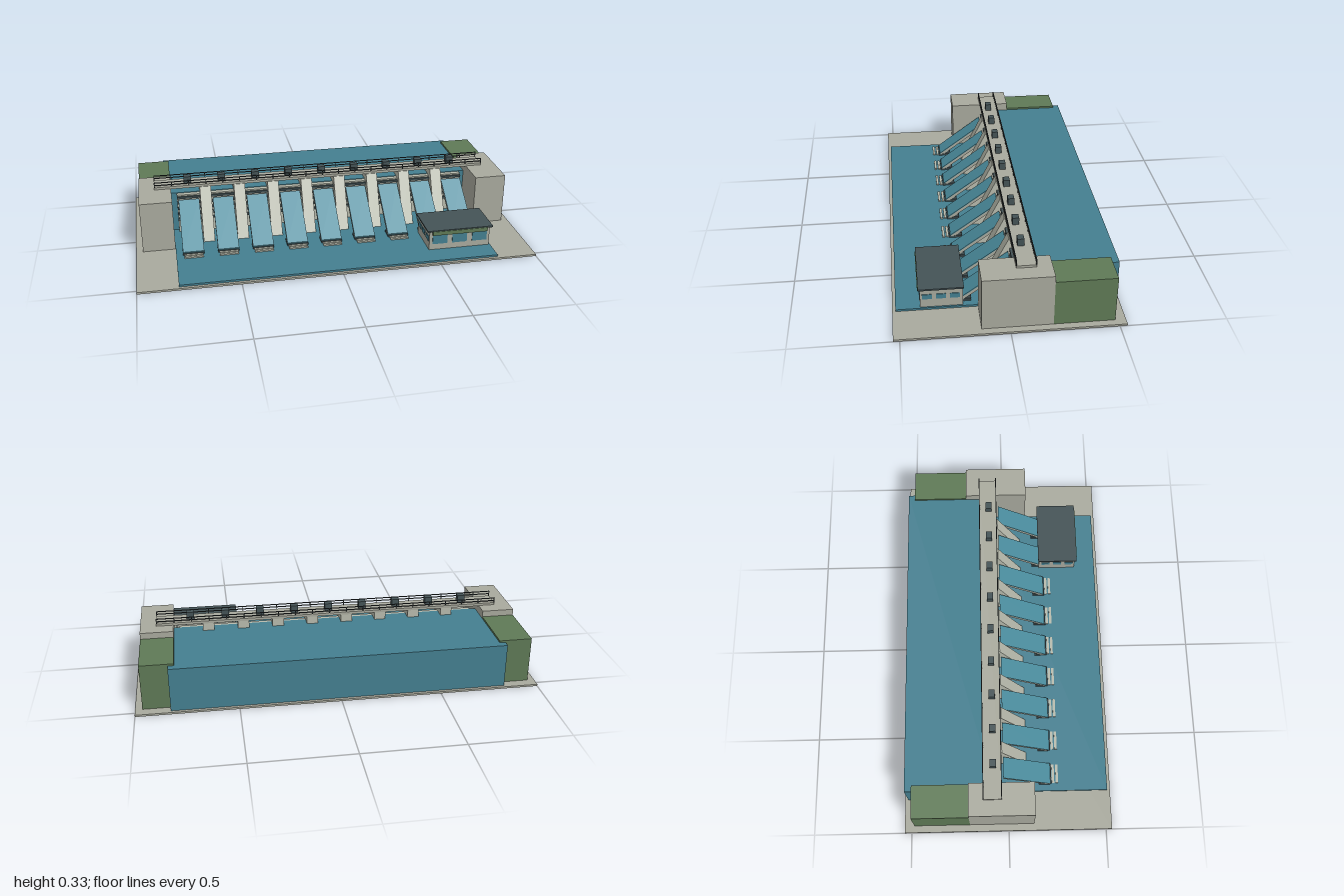
import * as THREE from 'three';

const mat = (name, color, side = THREE.FrontSide) => {
  const m = new THREE.MeshStandardMaterial({ color, side });
  m.name = name;
  return m;
};

export function createModel() {
  const concrete = mat('concrete', 0xa9aa9e);
  const pale = mat('pale concrete', 0xb8bbad);
  const water = mat('water', 0x447f90);
  const spill = mat('spilling water', 0x4a8c9d);
  const grass = mat('grass', 0x5f7a56);
  const slate = mat('slate steel', 0x445356);
  const rail = mat('railing steel', 0x343b3c);

  const model = new THREE.Group();
  model.name = 'dam';

  // Box given by its limits on each axis
  const box = (name, m, x0, x1, y0, y1, z0, z1, parent = model) => {
    const mesh = new THREE.Mesh(new THREE.BoxGeometry(x1 - x0, y1 - y0, z1 - z0), m);
    mesh.position.set((x0 + x1) / 2, (y0 + y1) / 2, (z0 + z1) / 2);
    mesh.name = name;
    parent.add(mesh);
    return mesh;
  };

  // Prism with a [z, y] profile, extruded across x
  const prism = (name, m, profile, x, width, parent = model) => {
    const shape = new THREE.Shape(profile.map(([z, y]) => new THREE.Vector2(z, y)));
    const geo = new THREE.ExtrudeGeometry(shape, { depth: width, bevelEnabled: false });
    geo.translate(0, 0, -width / 2).rotateY(-Math.PI / 2);
    const mesh = new THREE.Mesh(geo, m);
    mesh.position.x = x;
    mesh.name = name;
    parent.add(mesh);
  };

  // Ground slab and water bodies
  box('baseSlab', concrete, -1, 1, 0, 0.01, -0.535, 0.53);
  box('reservoir', water, -0.83, 0.83, 0.01, 0.235, -0.52, -0.07);
  box('tailwater', water, -0.8, 0.8, 0.01, 0.02, -0.07, 0.515);

  // Abutments and grassy banks on both ends
  for (const s of [-1, 1]) {
    const a = Math.min(s * 0.8, s * 0.965), b = Math.max(s * 0.8, s * 0.965);
    box('abutment', concrete, a, b, 0.01, 0.277, -0.2, 0.13);
    box('grassBank', grass, a, b, 0.01, 0.245, -0.485, -0.2);
  }

  const pitch = 0.178;

  // Sloped piers between the bays
  for (let i = 0; i < 8; i++) {
    prism('pier', pale, [[-0.125, 0.015], [0.1, 0.015], [-0.03, 0.277], [-0.125, 0.277]],
      (i - 3.5) * pitch, 0.058);
  }

  // Nine bays, each with gate, chute, stilling blocks and hoist
  for (let i = 0; i < 9; i++) {
    const bay = new THREE.Group();
    bay.name = 'spillwayBay';
    bay.position.x = (i - 4) * pitch;
    model.add(bay);

    box('gate', pale, -0.06, 0.06, 0.015, 0.232, -0.07, -0.045, bay);
    for (let k = 0; k < 5; k++) {
      const y = 0.09 + k * 0.031;
      box('gateRib', slate, -0.06, 0.06, y, y + 0.011, -0.045, -0.033, bay);
    }
    prism('chute', concrete, [[-0.025, 0.19], [0.22, 0.012], [0.22, 0.03], [-0.025, 0.208]], 0, 0.107, bay);
    prism('chuteWater', spill, [[-0.025, 0.208], [0.22, 0.03], [0.22, 0.035], [-0.025, 0.213]], 0, 0.107, bay);

    box('stillingSill', slate, -0.054, 0.054, 0.018, 0.03, 0.16, 0.226, bay);
    box('stillingBlock', slate, -0.048, 0.048, 0.03, 0.045, 0.16, 0.195, bay);
    for (const z of [0.228, 0.248]) {
      box('baffleBar', pale, -0.048, 0.048, 0.018, 0.027, z, z + 0.013, bay);
    }

    box('hoist', slate, -0.019, 0.019, 0.289, 0.326, -0.092, -0.06, bay);
  }

  // Service bridge with railings on both edges
  box('bridgeDeck', concrete, -0.885, 0.885, 0.275, 0.289, -0.127, -0.034);
  for (const z of [-0.126, -0.035]) {
    for (const y of [0.301, 0.315]) {
      box('handrail', rail, -0.885, 0.885, y - 0.002, y + 0.002, z - 0.002, z + 0.002);
    }
    for (let i = 0; i <= 20; i++) {
      const x = -0.883 + i * 0.0883;
      box('railPost', rail, x - 0.002, x + 0.002, 0.289, 0.315, z - 0.002, z + 0.002);
    }
  }

  // Control house with windows, roof and green fascia
  const house = new THREE.Group();
  house.name = 'controlHouse';
  model.add(house);
  box('houseWalls', concrete, 0.472, 0.792, 0.012, 0.122, 0.2, 0.4, house);
  box('houseRoof', slate, 0.46, 0.806, 0.122, 0.13, 0.195, 0.408, house);
  box('houseFascia', grass, 0.487, 0.777, 0.104, 0.125, 0.4, 0.411, house);
  for (const x of [0.528, 0.632, 0.738]) {
    box('frontWindow', water, x - 0.039, x + 0.039, 0.052, 0.1, 0.4, 0.403, house);
  }
  for (const z of [0.237, 0.302, 0.367]) {
    box('sideWindow', water, 0.792, 0.795, 0.066, 0.092, z - 0.023, z + 0.023, house);
    box('sideWindow', water, 0.469, 0.472, 0.066, 0.092, z - 0.023, z + 0.023, house);
  }

  return model;
}
